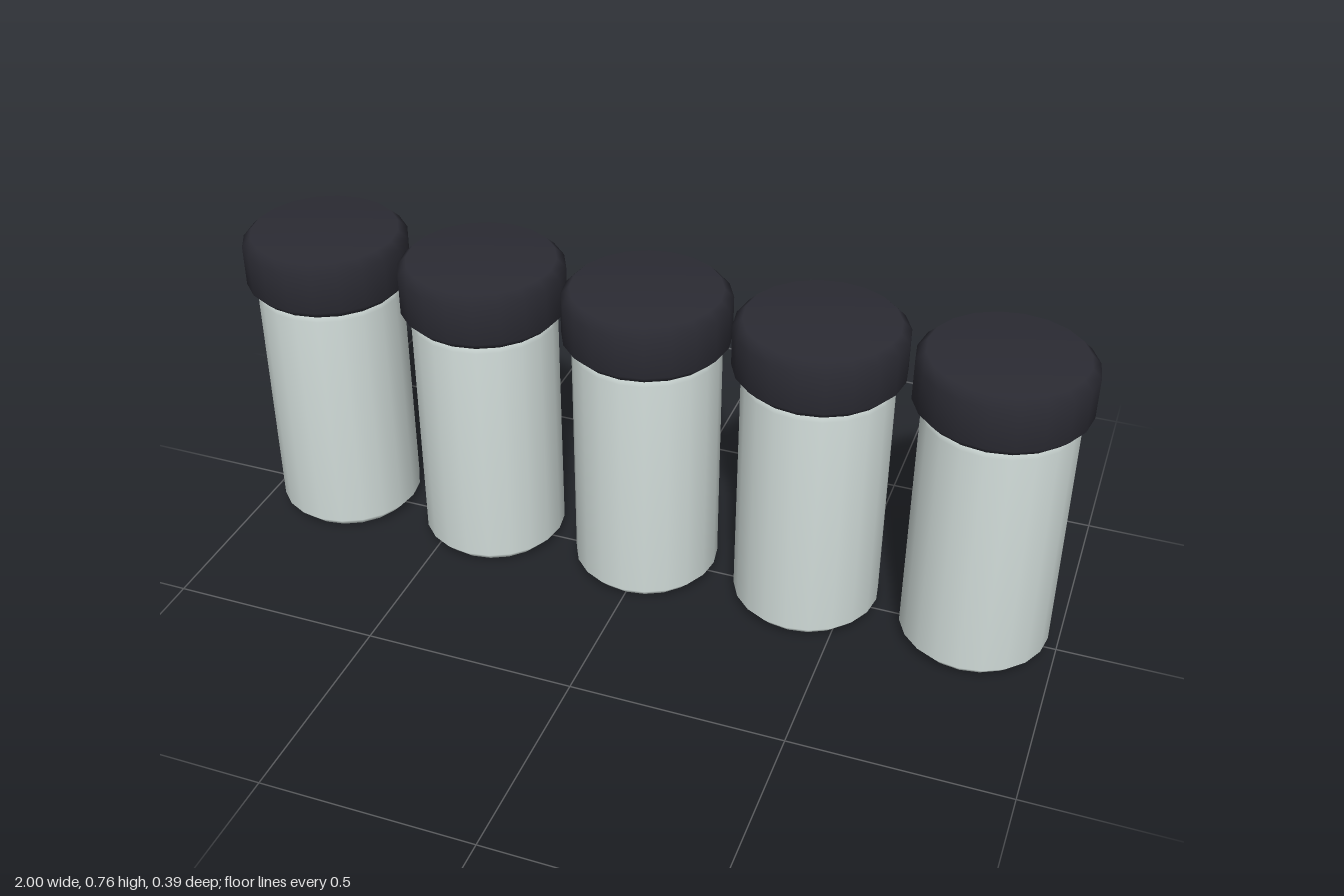
import * as THREE from 'three';

// Row of five lidded jars
const COUNT = 5, PITCH = 0.403, SIDES = 20;

const lathe = (points) =>
  new THREE.LatheGeometry(points.map(([r, y]) => new THREE.Vector2(r, y)), SIDES);

export function createModel() {
  const glass = new THREE.MeshStandardMaterial({ color: 0xd3dedb });
  glass.name = 'pale glass';
  const cap = new THREE.MeshStandardMaterial({ color: 0x2b2b33 });
  cap.name = 'dark lid';

  // Bevelled jar body and wider bevelled lid, profiles from bottom to top
  const bodyGeometry = lathe([
    [0, 0], [0.145, 0], [0.172, 0.028], [0.172, 0.603], [0.158, 0.618], [0, 0.618],
  ]);
  const lidGeometry = lathe([
    [0, 0.617], [0.172, 0.617], [0.194, 0.639], [0.194, 0.736], [0.173, 0.757], [0, 0.757],
  ]);

  const model = new THREE.Group();
  model.name = 'jarRow';
  for (let i = 0; i < COUNT; i++) {
    const jar = new THREE.Group();
    jar.name = `jar${i + 1}`;
    const body = new THREE.Mesh(bodyGeometry, glass);
    body.name = 'jarBody';
    const lid = new THREE.Mesh(lidGeometry, cap);
    lid.name = 'jarLid';
    jar.add(body, lid);
    jar.position.x = (i - (COUNT - 1) / 2) * PITCH;
    model.add(jar);
  }
  return model;
}
